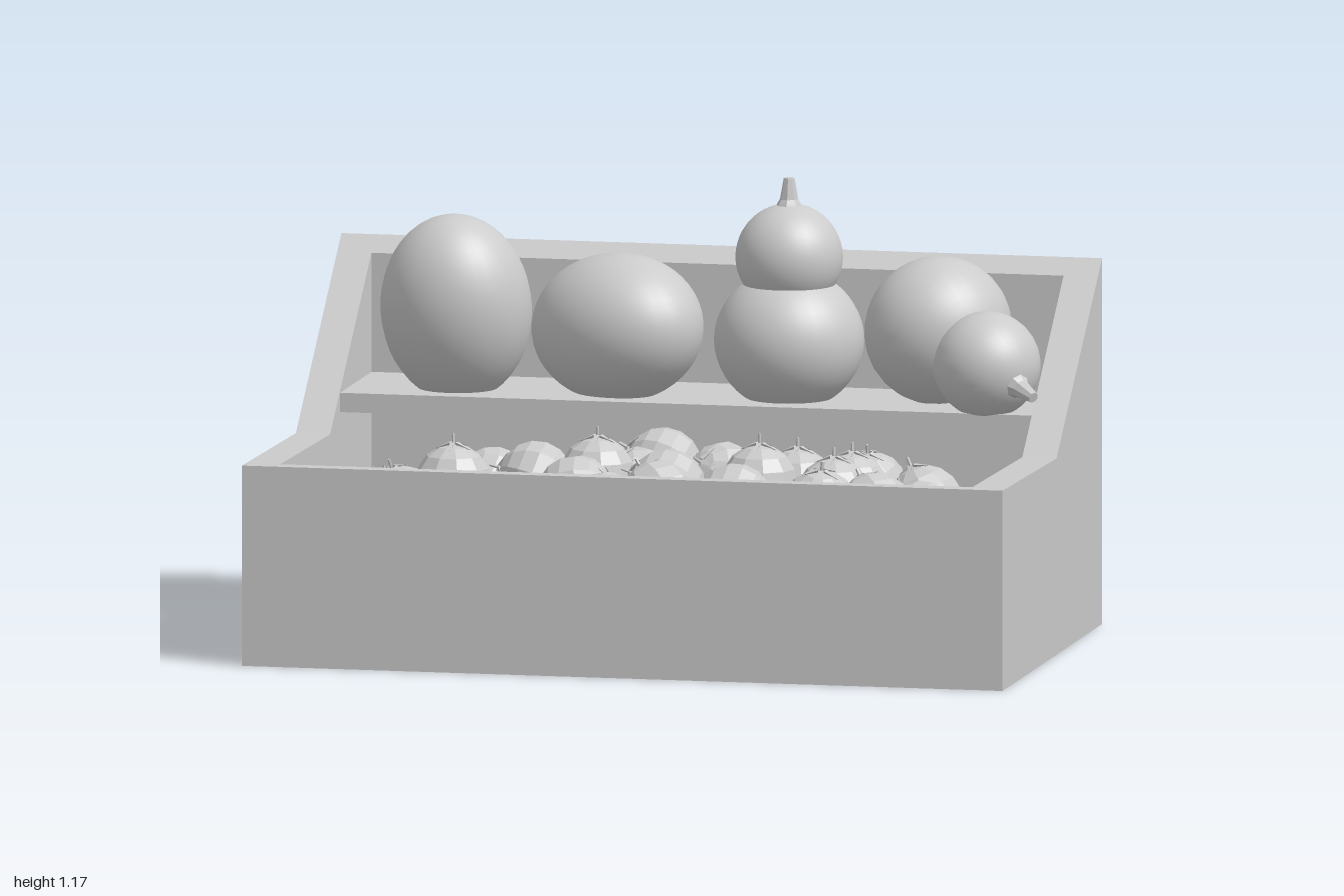
import * as THREE from 'three';

const smooth = new THREE.MeshStandardMaterial({ color: 0xcccccc });
const faceted = new THREE.MeshStandardMaterial({ color: 0xcccccc, flatShading: true });

function add(parent, name, geometry, material = faceted) {
  const mesh = new THREE.Mesh(geometry, material);
  mesh.name = name;
  parent.add(mesh);
  return mesh;
}

// Board with a [z, y] outline, running from x0 to x1
function board(parent, name, outline, x0, x1) {
  const shape = new THREE.Shape(outline.map(([z, y]) => new THREE.Vector2(-z, y)));
  const geometry = new THREE.ExtrudeGeometry(shape, { depth: x1 - x0, bevelEnabled: false });
  geometry.rotateY(Math.PI / 2).translate(x0, 0, 0);
  return add(parent, name, geometry);
}

function lathe(points, sides) {
  return new THREE.LatheGeometry(points.map(([r, y]) => new THREE.Vector2(r, y)), sides);
}

// Two-lobed gourd with a flared stem, its lower lobe centred on the origin
function makeGourd(name) {
  const gourd = new THREE.Group();
  gourd.name = name;
  add(gourd, 'gourdBody', new THREE.SphereGeometry(0.193, 32, 24).scale(1, 0.95, 1), smooth);
  add(gourd, 'gourdNeck', new THREE.SphereGeometry(0.138, 32, 24).translate(0, 0.215, 0), smooth);
  const stem = lathe([[0.04, 0.335], [0.03, 0.355], [0.024, 0.365], [0.014, 0.42], [0, 0.42]], 8);
  add(gourd, 'gourdStem', stem);
  return gourd;
}

// Small faceted fruit with a leafy cap and a thin stem
const fruitGeometry = new THREE.SphereGeometry(0.1, 10, 8);
const stemGeometry = new THREE.CylinderGeometry(0.004, 0.005, 0.035, 5).translate(0, 0.11, 0);
const leafGeometry = new THREE.ConeGeometry(0.009, 0.045, 3)
  .rotateX(Math.PI / 2 + 0.3).translate(0, 0.095, 0.03);

function makeFruit(x, y, z, tiltX = 0, tiltZ = 0) {
  const fruit = new THREE.Group();
  fruit.name = 'fruit';
  add(fruit, 'fruitBody', fruitGeometry);
  add(fruit, 'fruitStem', stemGeometry);
  for (let i = 0; i < 5; i++) {
    add(fruit, 'fruitLeaf', leafGeometry).rotation.y = (i * Math.PI * 2) / 5;
  }
  fruit.position.set(x, y, z);
  fruit.rotation.set(tiltX, 0, tiltZ);
  return fruit;
}

export function createModel() {
  const model = new THREE.Group();
  model.name = 'produceStand';

  // Open crate with raised, sloping back half
  const crate = new THREE.Group();
  crate.name = 'crate';
  model.add(crate);
  const side = [[0.59, 0], [0.59, 0.52], [-0.05, 0.51], [-0.59, 0.95], [-0.59, 0]];
  board(crate, 'rightWall', side, -1, -0.91);
  board(crate, 'leftWall', side, 0.91, 1);
  board(crate, 'frontWall', [[0.59, 0], [0.59, 0.52], [0.54, 0.519], [0.54, 0]], -0.91, 0.91);
  board(crate, 'backWall', [[-0.54, 0], [-0.54, 0.909], [-0.59, 0.95], [-0.59, 0]], -0.91, 0.91);
  board(crate, 'floor', [[0.54, 0], [0.54, 0.05], [-0.54, 0.05], [-0.54, 0]], -0.91, 0.91);
  board(crate, 'shelf', [[-0.17, 0.55], [-0.17, 0.6], [-0.54, 0.6], [-0.54, 0.55]], -0.91, 0.91);

  // Large produce on the shelf
  const tallMelon = add(model, 'tallMelon', new THREE.SphereGeometry(1, 32, 24).scale(0.195, 0.25, 0.19), smooth);
  tallMelon.position.set(-0.635, 0.81, -0.305);
  tallMelon.rotation.x = 0.25;

  const wideMelon = add(model, 'wideMelon', new THREE.SphereGeometry(1, 32, 24).scale(0.25, 0.193, 0.195), smooth);
  wideMelon.position.set(-0.215, 0.77, -0.325);
  wideMelon.rotation.set(0, -0.6, 0.12);

  const standingGourd = makeGourd('standingGourd');
  standingGourd.position.set(0.232, 0.75, -0.343);
  model.add(standingGourd);

  const lyingGourd = makeGourd('lyingGourd');
  lyingGourd.position.set(0.62, 0.785, -0.36);
  lyingGourd.quaternion.setFromUnitVectors(
    new THREE.Vector3(0, 1, 0), new THREE.Vector3(0.72, -0.3, 0.6).normalize());
  model.add(lyingGourd);

  // Heap of fruit: [x, y, z, tiltX, tiltZ]
  const topFruit = [
    [-0.77, 0.32, 0.07], [-0.55, 0.42, 0.11], [-0.79, 0.3, 0.33], [-0.69, 0.36, 0.3],
    [-0.47, 0.36, 0.4], [-0.285, 0.36, 0.46], [-0.34, 0.43, 0.07, 0, 1.3], [-0.18, 0.445, 0.07],
    [-0.3, 0.37, 0.3, 0.4, 0.9], [-0.19, 0.43, 0.285, 0.2, -1.2], [-0.08, 0.41, 0.425, 0.8, 0.3],
    [0.06, 0.445, 0.425, -0.5, 0.6], [0.03, 0.44, 0.19, 0.2, 1.2], [-0.09, 0.41, -0.015, 0.6, 0.4],
    [0.12, 0.42, -0.08, 0.9, 0.5], [0.255, 0.445, 0.11], [0.24, 0.43, 0.34, 0.3, 1.3],
    [0.49, 0.425, 0.07], [0.49, 0.445, 0.29], [0.49, 0.44, 0.46, 0.2, -0.1],
    [0.64, 0.44, 0.475, -0.5, 0.5], [0.66, 0.37, 0.29], [0.67, 0.36, 0.08, 0.4, -1],
    [0.49, 0.4, -0.14, 0.3, 0], [0.64, 0.37, -0.13, 0, 0.4], [0.3, 0.4, -0.14],
    [-0.73, 0.33, -0.09, 0.3, 0.2], [-0.5, 0.38, -0.13, 0.5, 0.9], [-0.06, 0.44, -0.17, 0.2, 1.1],
  ];
  const lowerFruit = [
    [-0.66, 0.22, 0.15], [-0.32, 0.25, 0.15], [-0.09, 0.27, 0.16, 0.5, 0.3], [0.11, 0.28, 0.1],
    [0.18, 0.28, 0.19, 0.7, 0], [0.39, 0.27, 0.17], [0.39, 0.26, 0.36], [0.66, 0.22, 0.16, 0, 0.5],
    [0.13, 0.26, 0.3], [-0.52, 0.24, 0.3, 0.4, 0.6], [-0.05, 0.28, 0.33],
  ];
  const heap = new THREE.Group();
  heap.name = 'fruitHeap';
  model.add(heap);
  for (const fruit of [...topFruit, ...lowerFruit]) heap.add(makeFruit(...fruit));

  // Bottom layer carrying the heap
  for (const [x, , z] of topFruit) heap.add(makeFruit(x, 0.15, Math.min(z, 0.44)));

  return model;
}
